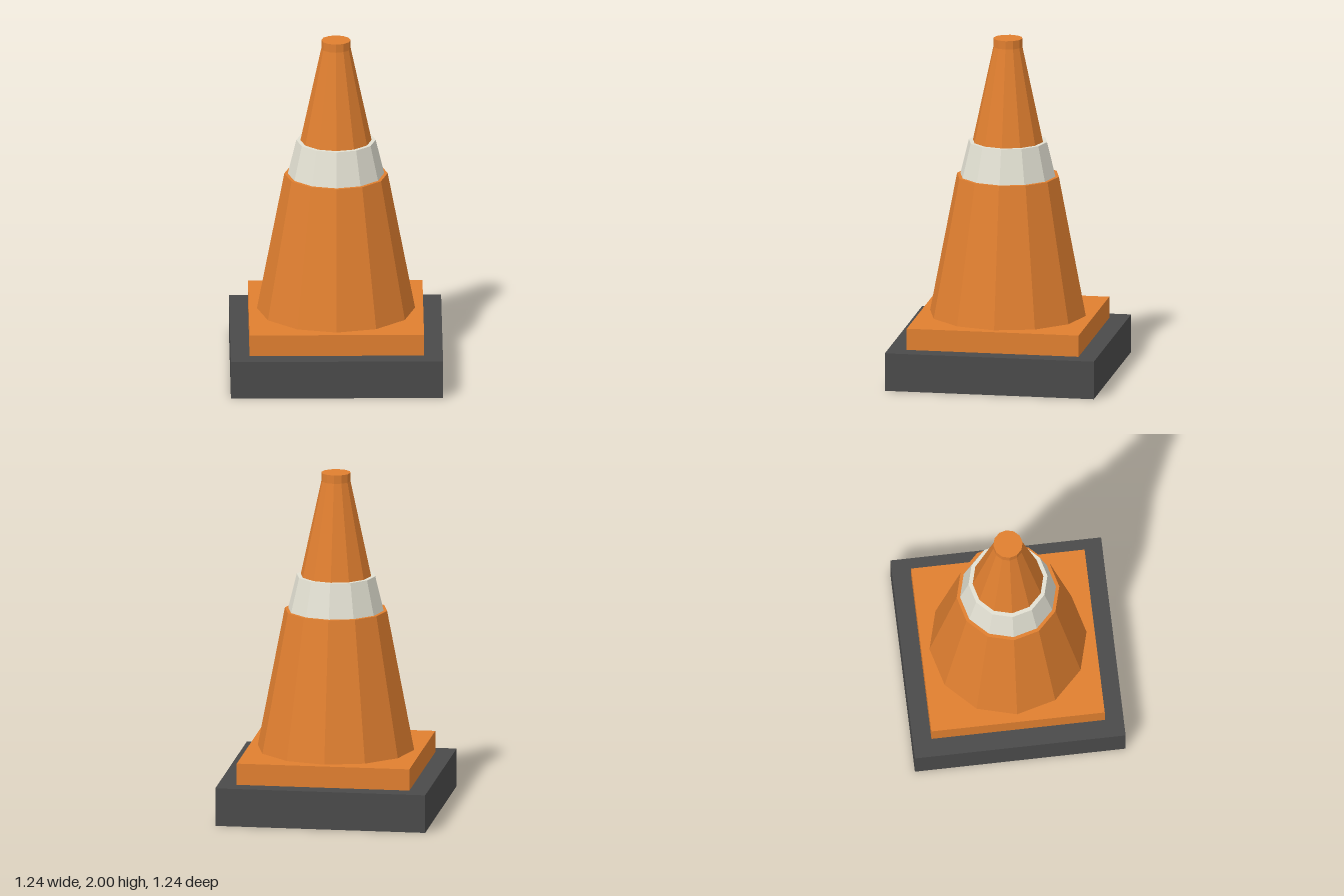
import * as THREE from 'three';

const SIDES = 12;

export function createModel() {
  const group = new THREE.Group();
  const material = (name, color) => {
    const m = new THREE.MeshStandardMaterial({ color, flatShading: true });
    m.name = name;
    return m;
  };
  const orange = material('orange', 0xe07f30);
  const white = material('offWhite', 0xe2e0d2);
  const rubber = material('darkRubber', 0x4a4a4a);

  const add = (name, geometry, mat, y0, y1) => {
    const mesh = new THREE.Mesh(geometry, mat);
    mesh.name = name;
    mesh.position.y = (y0 + y1) / 2;
    group.add(mesh);
  };
  const slab = (name, mat, width, y0, y1) =>
    add(name, new THREE.BoxGeometry(width, y1 - y0, width), mat, y0, y1);
  const taper = (name, mat, rBottom, rTop, y0, y1) =>
    add(name, new THREE.CylinderGeometry(rTop, rBottom, y1 - y0, SIDES), mat, y0, y1);

  // Square foot
  slab('rubberBase', rubber, 1.24, 0, 0.225);
  slab('basePlate', orange, 1.02, 0.225, 0.352);

  // Stepped, tapering body
  taper('lowerCone', orange, 0.462, 0.302, 0.352, 1.18);
  taper('reflectiveBand', white, 0.282, 0.232, 1.18, 1.385);
  taper('upperCone', orange, 0.208, 0.086, 1.385, 1.95);
  taper('tip', orange, 0.086, 0.086, 1.95, 2);

  return group;
}
